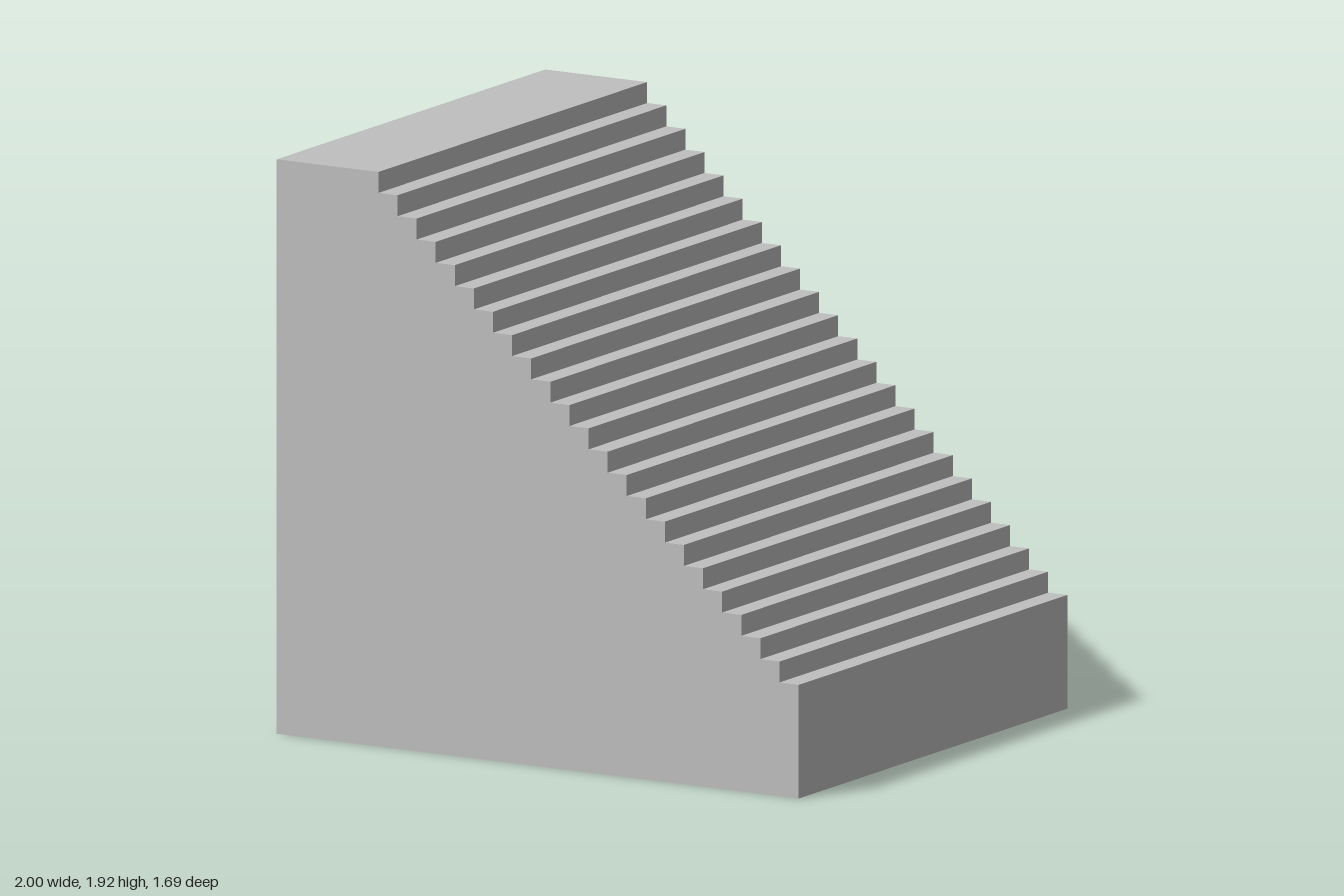
import * as THREE from 'three';

export function createModel() {
  const group = new THREE.Group();
  group.name = 'staircase';
  const stone = new THREE.MeshStandardMaterial({ color: 0xbfbfbf });
  stone.name = 'light grey stone';

  const steps = 22;
  const depth = 1.69;
  const baseHeight = 0.38, topHeight = 1.92;
  const landingEdge = -0.61;
  const run = (1 - landingEdge) / steps;
  const rise = (topHeight - baseHeight) / steps;

  // Side profile: solid base, equal steps and a flat landing
  const profile = new THREE.Shape();
  profile.moveTo(-1, 0);
  profile.lineTo(1, 0);
  for (let i = 0; i < steps; i++) {
    const y = baseHeight + i * rise;
    profile.lineTo(1 - i * run, y);
    profile.lineTo(1 - (i + 1) * run, y);
  }
  profile.lineTo(landingEdge, topHeight);
  profile.lineTo(-1, topHeight);
  profile.closePath();

  // Extrude across the width of the stairs
  const geometry = new THREE.ExtrudeGeometry(profile, { depth, bevelEnabled: false });
  geometry.translate(0, 0, -depth / 2);
  const stairs = new THREE.Mesh(geometry, stone);
  stairs.name = 'solidStairs';
  group.add(stairs);
  return group;
}
